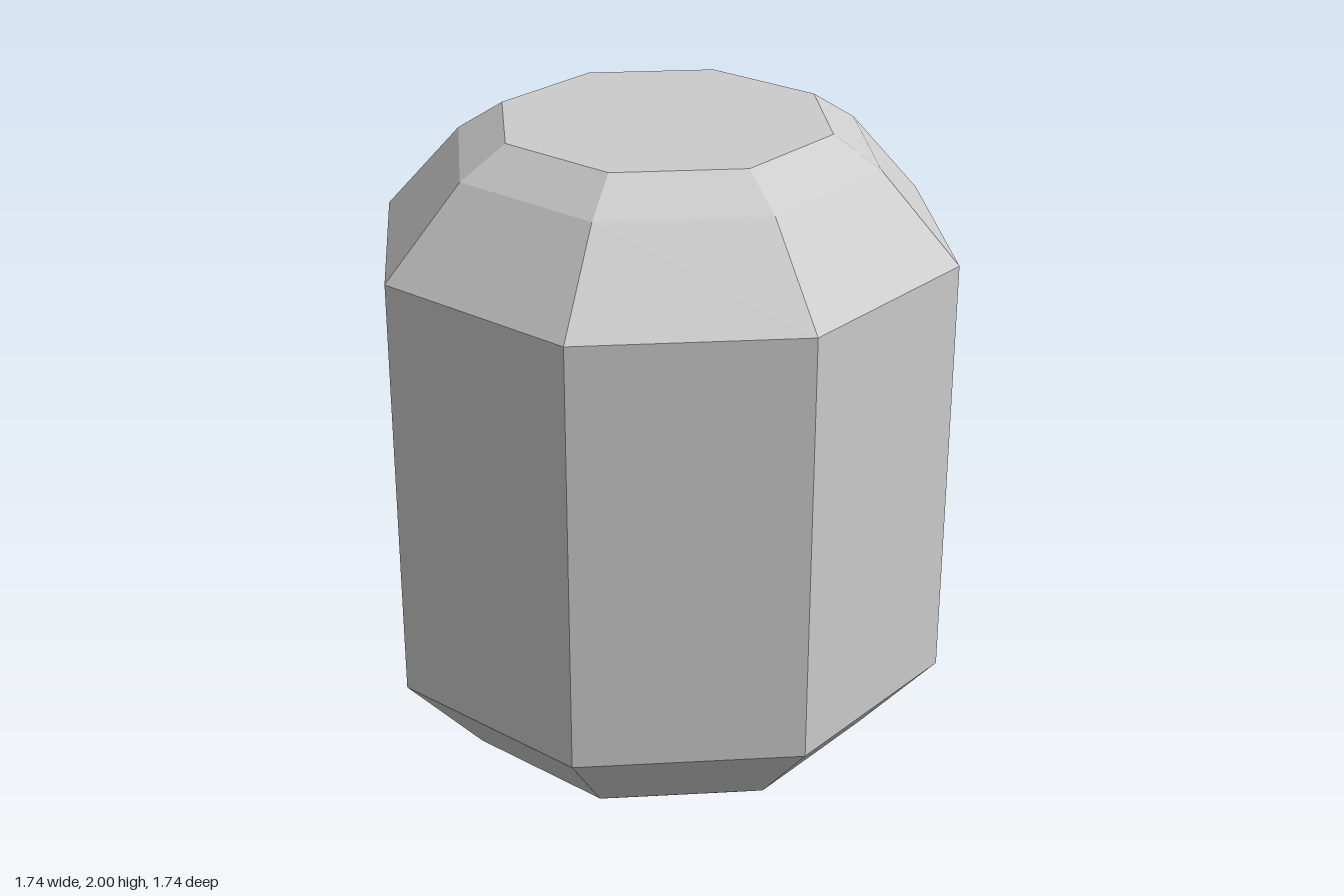
import * as THREE from 'three';

export function createModel() {
  const group = new THREE.Group();
  group.name = 'facetedCapsule';

  // Lower half of the profile (radius, height), mirrored for the upper half
  const lower = [[0, 0], [0.495, 0], [0.635, 0.09], [0.87, 0.35]];
  const upper = lower.map(([r, y]) => [r, 2 - y]).reverse();
  const profile = [...lower, ...upper].map(([r, y]) => new THREE.Vector2(r, y));

  // Eight-sided body with chamfered ends, corners on the x and z axes
  const body = new THREE.Mesh(
    new THREE.LatheGeometry(profile, 8),
    new THREE.MeshStandardMaterial({ color: 0xcccccc, flatShading: true })
  );
  body.name = 'body';
  group.add(body);

  return group;
}
